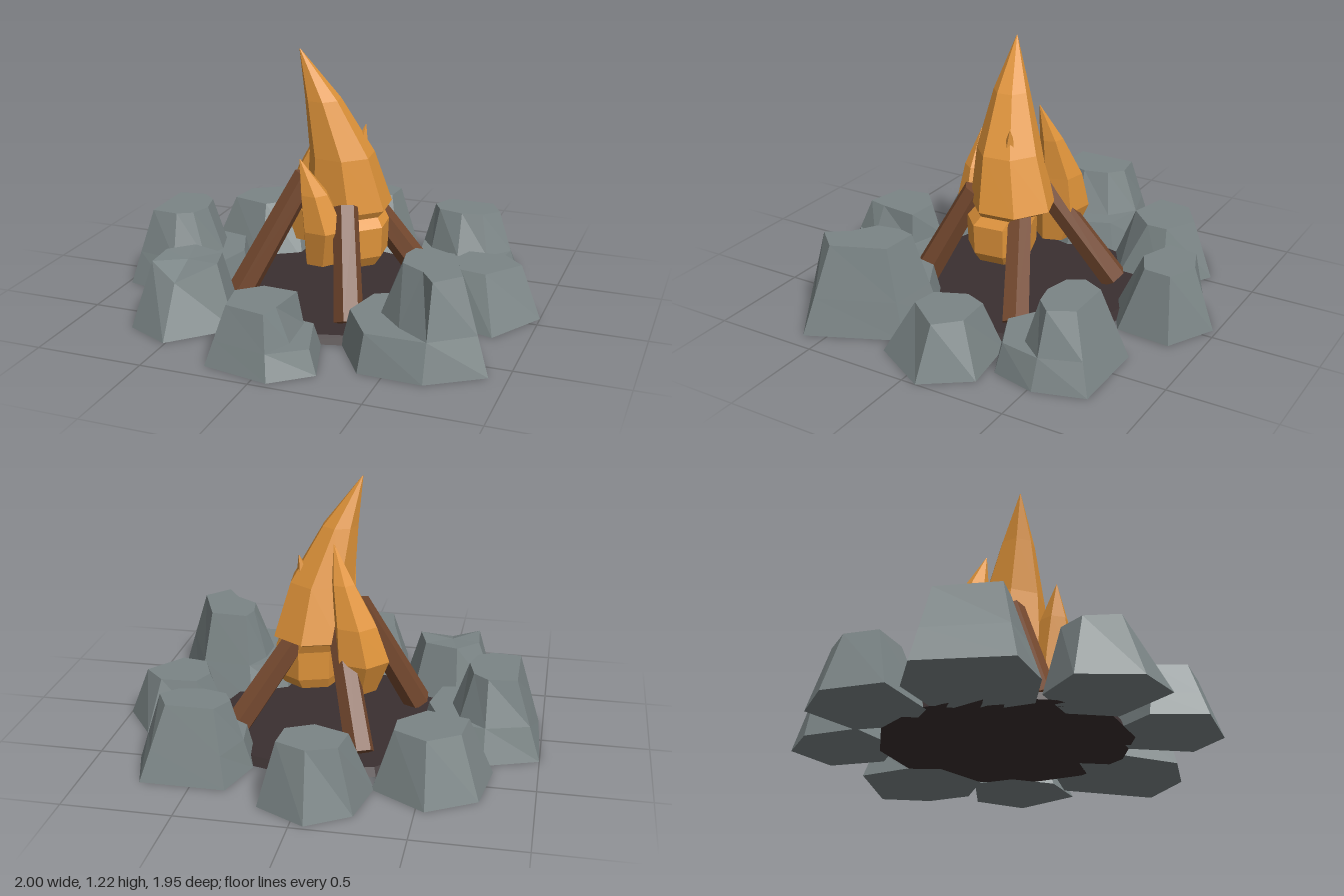
import * as THREE from 'three';

const material = (name, color) => {
  const m = new THREE.MeshStandardMaterial({ color, flatShading: true });
  m.name = name;
  return m;
};

// Skin a stack of rings (each clockwise seen from above) and cap both ends
function loft(rings) {
  const pos = [];
  const tri = (a, b, c) => {
    const area = b.clone().sub(a).cross(c.clone().sub(a)).length();
    if (area > 1e-7) for (const p of [a, b, c]) pos.push(p.x, p.y, p.z);
  };
  const n = rings[0].length;
  for (let k = 0; k < rings.length - 1; k++) {
    const lo = rings[k], hi = rings[k + 1];
    for (let i = 0; i < n; i++) {
      const j = (i + 1) % n;
      tri(lo[i], hi[i], hi[j]);
      tri(lo[i], hi[j], lo[j]);
    }
  }
  const first = rings[0], last = rings[rings.length - 1];
  const mid = (r) => r.reduce((s, p) => s.add(p), new THREE.Vector3()).divideScalar(n);
  for (let i = 0; i < n; i++) {
    const j = (i + 1) % n;
    tri(mid(first), first[i], first[j]);
    tri(mid(last), last[j], last[i]);
  }
  const g = new THREE.BufferGeometry();
  g.setAttribute('position', new THREE.Float32BufferAttribute(pos, 3));
  g.computeVertexNormals();
  return g;
}

export function createModel() {
  const group = new THREE.Group();
  const stone = material('stone', 0x7b8586);
  const wood = material('wood', 0x75492f);
  const fire = material('fire', 0xe0943a);
  const ash = material('ash', 0x3a2f30);

  const add = (name, geometry, mat) => {
    const mesh = new THREE.Mesh(geometry, mat);
    mesh.name = name;
    group.add(mesh);
    return mesh;
  };

  // Ash bed
  add('ashBed', new THREE.CylinderGeometry(0.56, 0.58, 0.04, 12).translate(0, 0.02, 0), ash);

  // Stone: base and top outlines as [x, z, optional y]; chipped corners step in at a ledge
  function addRock(name, height, base, top, chipped = [], ledgeY = 0.14) {
    const foot = base.map(([x, z]) => new THREE.Vector3(x, 0, z));
    const crown = top.map(([x, z, y = height]) => new THREE.Vector3(x, y, z));
    const centre = foot.reduce((s, p) => s.add(p), new THREE.Vector3()).divideScalar(foot.length);
    const shoulder = [], ledge = [];
    foot.forEach((p, i) => {
      if (chipped.includes(i)) {
        const s = p.clone().lerp(centre, 0.32 * ledgeY / height).setY(ledgeY);
        shoulder.push(s);
        ledge.push(s.clone().lerp(crown[i], 0.6).setY(ledgeY));
      } else {
        const s = p.clone().lerp(crown[i], ledgeY / crown[i].y);
        shoulder.push(s);
        ledge.push(s);
      }
    });
    add(name, loft(chipped.length ? [foot, shoulder, ledge, crown] : [foot, crown]), stone);
  }

  addRock('backStone', 0.30,
    [[-0.06, -0.98], [0.17, -0.86], [0.15, -0.60], [-0.04, -0.49], [-0.30, -0.61], [-0.25, -0.86]],
    [[-0.05, -0.88], [0.09, -0.82], [0.08, -0.69], [-0.04, -0.63], [-0.20, -0.69], [-0.18, -0.83]]);
  addRock('backLeftStone', 0.335,
    [[0.34, -0.75], [0.73, -0.75], [0.80, -0.52], [0.75, -0.31], [0.53, -0.21], [0.30, -0.36], [0.27, -0.52]],
    [[0.41, -0.64], [0.63, -0.64], [0.69, -0.53], [0.62, -0.46], [0.52, -0.44], [0.40, -0.47], [0.36, -0.54]],
    [3, 4, 5]);
  addRock('leftStone', 0.245,
    [[0.85, -0.28], [1.0, -0.07], [0.84, 0.21], [0.61, 0.14], [0.51, -0.05], [0.55, -0.24]],
    [[0.80, -0.19], [0.90, -0.09], [0.77, 0.08], [0.65, 0.06], [0.59, -0.08], [0.63, -0.18]]);
  addRock('frontLeftStone', 0.41,
    [[0.45, 0.16], [0.73, 0.18], [0.92, 0.60], [0.68, 0.76], [0.39, 0.75], [0.23, 0.50], [0.28, 0.27]],
    [[0.50, 0.28], [0.68, 0.29], [0.78, 0.53], [0.68, 0.64], [0.61, 0.54], [0.50, 0.47], [0.48, 0.36]],
    [4, 5, 6], 0.17);
  addRock('frontStone', 0.26,
    [[-0.10, 0.49], [0.15, 0.54], [0.24, 0.83], [0.07, 0.97], [-0.24, 0.91], [-0.28, 0.66]],
    [[-0.10, 0.58], [0.06, 0.59], [0.04, 0.78], [0.02, 0.87], [-0.17, 0.83], [-0.20, 0.67]],
    [1, 2], 0.11);
  addRock('frontRightStone', 0.30,
    [[-0.57, 0.24], [-0.34, 0.31], [-0.27, 0.53], [-0.51, 0.77], [-0.72, 0.67], [-0.77, 0.39]],
    [[-0.56, 0.32], [-0.40, 0.37], [-0.36, 0.51], [-0.51, 0.64, 0.235], [-0.65, 0.58], [-0.66, 0.42]]);
  addRock('rightStone', 0.37,
    [[-1.0, -0.22], [-0.75, -0.31], [-0.52, -0.24], [-0.43, -0.02], [-0.48, 0.20], [-0.73, 0.26], [-0.98, 0.20]],
    [[-0.88, -0.16], [-0.75, -0.18], [-0.68, -0.12], [-0.65, 0.0], [-0.68, 0.10], [-0.75, 0.14], [-0.88, 0.13]],
    [2, 3, 4], 0.16);
  addRock('backRightStone', 0.285,
    [[-0.54, -0.77], [-0.29, -0.62], [-0.30, -0.37], [-0.48, -0.26], [-0.80, -0.36], [-0.76, -0.64]],
    [[-0.53, -0.67], [-0.38, -0.59], [-0.38, -0.49], [-0.50, -0.37], [-0.69, -0.42], [-0.67, -0.58]]);

  // Leaning logs: foot to head
  const up = new THREE.Vector3(0, 1, 0);
  [
    ['rightLog', [-0.38, 0.05, 0.22], [-0.11, 0.61, 0.05]],
    ['leftLog', [0.42, 0.06, -0.22], [0.10, 0.56, -0.06]],
    ['backLog', [-0.20, 0.06, -0.40], [-0.04, 0.56, -0.08]],
    ['frontLog', [0.23, 0.06, 0.40], [0.13, 0.52, 0.17]],
  ].forEach(([name, a, b]) => {
    const from = new THREE.Vector3(...a), to = new THREE.Vector3(...b);
    const dir = to.clone().sub(from);
    const log = add(name, new THREE.CylinderGeometry(0.058, 0.068, dir.length(), 6), wood);
    log.position.copy(from).add(to).multiplyScalar(0.5);
    log.quaternion.setFromUnitVectors(up, dir.normalize());
  });

  // Flames: sections of [y, centre x, centre z, radius], narrowing to a tip
  function addFlame(name, sides, twist, sections) {
    const rings = sections.map(([y, cx, cz, r]) => Array.from({ length: sides }, (_, i) => {
      const a = twist + (i / sides) * Math.PI * 2;
      return new THREE.Vector3(cx + r * Math.cos(a), y, cz + r * Math.sin(a));
    }));
    add(name, loft(rings), fire);
  }
  addFlame('mainFlame', 7, 0.35, [
    [0.22, 0.11, 0.03, 0.14], [0.27, 0.12, 0.03, 0.165], [0.41, 0.12, 0.03, 0.17], [0.45, 0.10, 0.01, 0.16],
    [0.48, 0.085, -0.01, 0.205], [0.73, 0.06, 0.025, 0.155], [0.99, -0.02, 0.06, 0.085], [1.22, -0.12, 0.09, 0.002],
  ]);
  addFlame('backFlame', 6, 0.2, [
    [0.25, -0.14, -0.11, 0.09], [0.41, -0.16, -0.13, 0.135], [0.58, -0.13, -0.14, 0.105],
    [0.77, -0.07, -0.125, 0.055], [0.94, -0.02, -0.09, 0.002],
  ]);
  addFlame('frontFlame', 6, 0.1, [
    [0.25, 0.02, 0.19, 0.08], [0.42, 0.04, 0.21, 0.105], [0.59, 0.0, 0.23, 0.068], [0.75, -0.06, 0.25, 0.002],
  ]);
  addFlame('sideFlame', 5, 0.0, [
    [0.62, 0.13, -0.02, 0.05], [0.78, 0.14, -0.025, 0.028], [0.86, 0.155, -0.035, 0.002],
  ]);

  return group;
}
